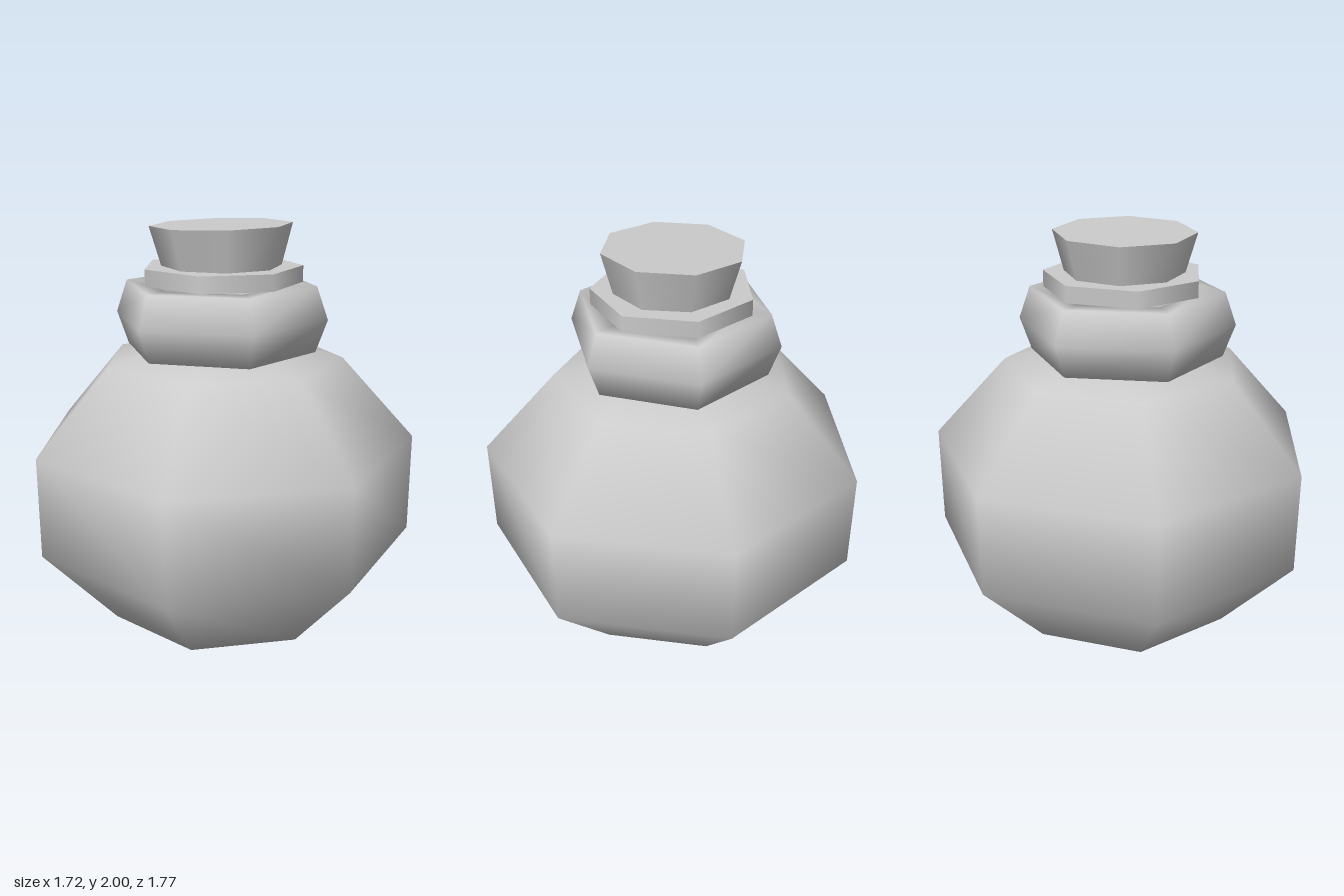
import * as THREE from 'three';

export function createModel() {
  const group = new THREE.Group();
  const material = new THREE.MeshStandardMaterial({ color: 0xcccccc });

  const add = (name, geometry, x, y, z = 0) => {
    const mesh = new THREE.Mesh(geometry, material);
    mesh.name = name;
    mesh.position.set(x, y, z);
    group.add(mesh);
    return mesh;
  };

  // Cylinder with its first corner on +x
  const prism = (top, bottom, height, sides) =>
    new THREE.CylinderGeometry(top, bottom, height, sides, 1, false, Math.PI / 2);

  // Seven-sided, slightly flattened flask body
  add('body', new THREE.SphereGeometry(1, 7, 5).rotateY(Math.PI).scale(0.952, 0.765, 0.952), -0.045, 0.765);

  // Thick hexagonal ring around the neck, turned a little
  const ring = new THREE.TorusGeometry(0.394, 0.106, 6, 6);
  ring.scale(1, 1, 1.63).rotateX(Math.PI / 2).rotateY(-0.05);
  add('neckRing', ring, -0.06, 1.58, -0.003);

  // Thin rim on top of the neck
  add('rim', prism(0.37, 0.37, 0.075, 7), -0.05, 1.773);

  // Flared stopper, slightly tilted
  const stopper = add('stopper', prism(0.325, 0.27, 0.2, 8), -0.05, 1.893);
  stopper.rotation.set(-0.02, 0, 0.008);

  return group;
}
